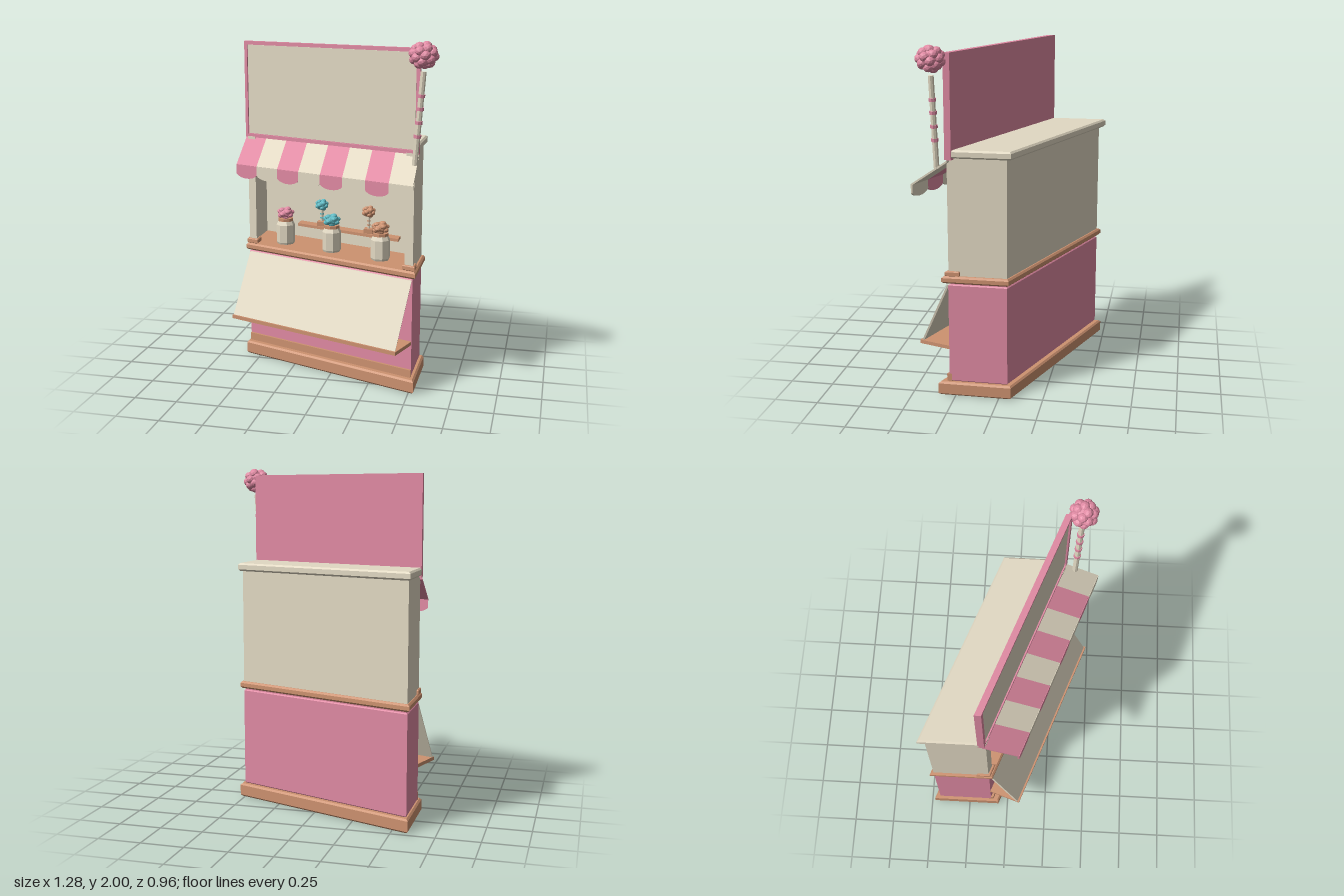
import * as THREE from 'three';

const K = Math.tan(THREE.MathUtils.degToRad(20)); // the stall front runs at 20 degrees

const mat = (name, color) => Object.assign(new THREE.MeshStandardMaterial({ color, side: THREE.DoubleSide, flatShading: true }), { name });

// Slant a geometry built square: z grows with x
function slant(geo) {
  const p = geo.attributes.position;
  for (let i = 0; i < p.count; i++) p.setZ(i, p.getZ(i) + K * p.getX(i));
  geo.computeVertexNormals();
  return geo;
}

// Slanted block between two x, y and depth limits, with bevelled edges if b > 0
function block(x0, x1, y0, y1, w0, w1, b = 0) {
  if (!b) {
    const g = new THREE.BoxGeometry(x1 - x0, y1 - y0, w1 - w0);
    return slant(g.translate((x0 + x1) / 2, (y0 + y1) / 2, (w0 + w1) / 2));
  }
  const s = new THREE.Shape([[x0, -w1], [x1, -w1], [x1, -w0], [x0, -w0]].map(([x, y]) => new THREE.Vector2(x, y)));
  const g = new THREE.ExtrudeGeometry(s, { depth: y1 - y0 - 2 * b, bevelSize: b, bevelThickness: b, bevelOffset: -b, bevelSegments: 1 });
  return slant(g.rotateX(-Math.PI / 2).translate(0, y0 + b, 0));
}

export function createModel() {
  const model = new THREE.Group();
  model.name = 'candyStall';
  const cream = mat('cream', 0xe2d9c3);
  const pink = mat('pink', 0xe08aa3);
  const wood = mat('wood', 0xcd9270);
  const teal = mat('teal', 0x5fbac4);

  const add = (name, geo, material, parent = model) => {
    const m = new THREE.Mesh(geo, material);
    m.name = name;
    parent.add(m);
    return m;
  };
  const group = (name, x, y, z) => {
    const g = new THREE.Group();
    g.name = name;
    g.position.set(x, y, z);
    model.add(g);
    return g;
  };

  // Ball of small faceted lumps spread evenly over a core
  function puff(name, parent, y, r, count, lump, material, squash = 1) {
    const g = new THREE.Group();
    g.name = name;
    g.position.y = y;
    g.scale.y = squash;
    parent.add(g);
    add('core', new THREE.IcosahedronGeometry(r * 0.8, 1), material, g);
    for (let i = 0; i < count; i++) {
      const h = 1 - (2 * i + 1) / count, a = i * 2.39996, q = Math.sqrt(1 - h * h), d = r - lump;
      const m = add('lump', new THREE.IcosahedronGeometry(lump, 1), material, g);
      m.position.set(q * Math.cos(a) * d, h * d, q * Math.sin(a) * d);
      m.rotation.set(i, i * 2, 0);
    }
  }

  // Base, lower cabinet and counter
  add('base', block(-0.595, 0.53, 0, 0.08, -0.263, 0.157, 0.01), wood);
  add('plinth', block(-0.58, 0.507, 0.08, 0.125, 0.09, 0.118), wood);
  add('cabinet', block(-0.58, 0.507, 0.08, 0.665, -0.232, 0.103, 0.006), pink);
  add('cabinetTop', block(-0.57, 0.497, 0.66, 0.68, -0.222, 0.095), pink);
  add('counter', block(-0.595, 0.527, 0.675, 0.717, -0.25, 0.13, 0.01), wood);

  // Upper walls, open at the front
  add('backWall', block(-0.58, 0.507, 0.715, 1.395, -0.232, -0.21), cream);
  for (const [x0, x1] of [[-0.58, -0.56], [0.487, 0.507]]) {
    add('sideWall', block(x0, x1, 0.715, 1.395, -0.232, 0.046), cream);
  }
  for (const [x0, x1] of [[-0.58, -0.53], [0.457, 0.507]]) {
    add('frontPost', block(x0, x1, 0.715, 1.385, 0.046, 0.1), cream);
    add('postFoot', block(x0 - 0.012, x1 + 0.012, 0.715, 0.745, 0.034, 0.115, 0.005), wood);
  }
  add('roof', block(-0.595, 0.527, 1.388, 1.435, -0.265, 0.068, 0.01), cream);

  // Sign board with a raised frame
  add('signBoard', block(-0.595, 0.53, 1.38, 1.957, 0.062, 0.085), pink);
  add('signPanel', block(-0.573, 0.506, 1.403, 1.935, 0.085, 0.09), cream);
  for (const [y0, y1] of [[1.38, 1.4], [1.937, 1.957]]) {
    add('signFrameRail', block(-0.595, 0.53, y0, y1, 0.085, 0.098), pink);
  }
  for (const [x0, x1] of [[-0.595, -0.576], [0.511, 0.53]]) {
    add('signFrameSide', block(x0, x1, 1.4, 1.937, 0.085, 0.098), pink);
  }

  // Striped awning with a scalloped edge
  const width = 1.125 / 8;
  for (let i = 0; i < 8; i++) {
    const x = -0.595 + i * width, material = i % 2 ? cream : pink;
    const slope = block(x, x + width, 1.366, 1.378, 0.085, 0.286);
    const p = slope.attributes.position;
    for (let j = 0; j < p.count; j++) {
      const w = p.getZ(j) - K * p.getX(j);
      p.setY(j, p.getY(j) - 0.135 * (w - 0.085) / 0.2);
    }
    slope.computeVertexNormals();
    add('awningStripe', slope, material);

    const s = new THREE.Shape();
    s.moveTo(x, 1.24);
    s.lineTo(x, 1.187);
    s.bezierCurveTo(x + 0.025, 1.154, x + width - 0.025, 1.154, x + width, 1.187);
    s.lineTo(x + width, 1.24);
    const edge = new THREE.ExtrudeGeometry(s, { depth: 0.01, bevelEnabled: false, curveSegments: 10 });
    add('awningScallop', slant(edge.translate(0, 0, 0.279)), material);
  }

  // Front flap leaning out square to the slanted front, with a ledge under it
  const out = 0.18, dx = -Math.sin(Math.atan(K)) * out, dz = Math.cos(Math.atan(K)) * out;
  const flap = block(-0.575, 0.503, 0.29, 0.66, 0.1, 0.112);
  const fp = flap.attributes.position;
  for (let i = 0; i < fp.count; i++) {
    const t = (0.66 - fp.getY(i)) / 0.37;
    fp.setX(i, fp.getX(i) + dx * t);
    fp.setZ(i, fp.getZ(i) + dz * t);
  }
  flap.computeVertexNormals();
  add('frontFlap', flap, cream);
  const ledge = block(-0.58, 0.507, 0.275, 0.296, 0.1, 0.12);
  const lp = ledge.attributes.position;
  for (let i = 0; i < lp.count; i++) {
    if (lp.getZ(i) - K * lp.getX(i) < 0.11) continue;
    lp.setX(i, lp.getX(i) + dx);
    lp.setZ(i, lp.getZ(i) + dz);
  }
  ledge.computeVertexNormals();
  add('flapLedge', ledge, wood);

  // Candy jars on the counter
  [[-0.355, pink], [-0.035, teal], [0.285, wood]].forEach(([x, material]) => {
    const jar = group('candyJar', x, 0.717, K * x - 0.01);
    const profile = [[0, 0], [0.052, 0], [0.057, 0.012], [0.057, 0.12], [0.045, 0.145], [0, 0.145]];
    add('jarBody', new THREE.LatheGeometry(profile.map(([r, y]) => new THREE.Vector2(r, y)), 8, Math.PI / 8), cream, jar);
    add('jarCollar', new THREE.CylinderGeometry(0.048, 0.048, 0.018, 8).translate(0, 0.152, 0), wood, jar);
    puff('jarCandy', jar, 0.192, 0.056, 12, 0.02, material, 0.75);
  });

  // Back shelf with two lollipops
  add('shelf', block(-0.305, 0.375, 0.803, 0.82, -0.212, -0.135), wood);
  [[-0.145, teal], [0.175, wood]].forEach(([x, material]) => {
    const pop = group('lollipop', x, 0.82, K * x - 0.172);
    add('lollipopStand', new THREE.BoxGeometry(0.052, 0.028, 0.052).translate(0, 0.014, 0), wood, pop);
    add('lollipopStick', new THREE.CylinderGeometry(0.009, 0.009, 0.1, 8).translate(0, 0.07, 0), cream, pop);
    for (const y of [0.05, 0.075]) add('stickRing', new THREE.CylinderGeometry(0.012, 0.012, 0.007, 8).translate(0, y, 0), material, pop);
    puff('lollipopHead', pop, 0.132, 0.044, 14, 0.016, material, 0.9);
  });

  // Leaning candy pole at the sign's left corner
  const pole = group('candyPole', 0.515, 1.33, 0.338);
  pole.rotation.set(0.022, 0, -0.08);
  add('poleStick', new THREE.CylinderGeometry(0.016, 0.016, 0.51, 8).translate(0, 0.255, 0), cream, pole);
  for (const y of [0.16, 0.235, 0.31, 0.38]) {
    add('poleRing', new THREE.CylinderGeometry(0.021, 0.021, 0.018, 8).translate(0, y, 0), pink, pole);
  }
  const head = group('poleHead', 0.555, 1.925, 0.35);
  puff('poleCandy', head, 0, 0.084, 24, 0.029, pink, 0.92);

  return model;
}
